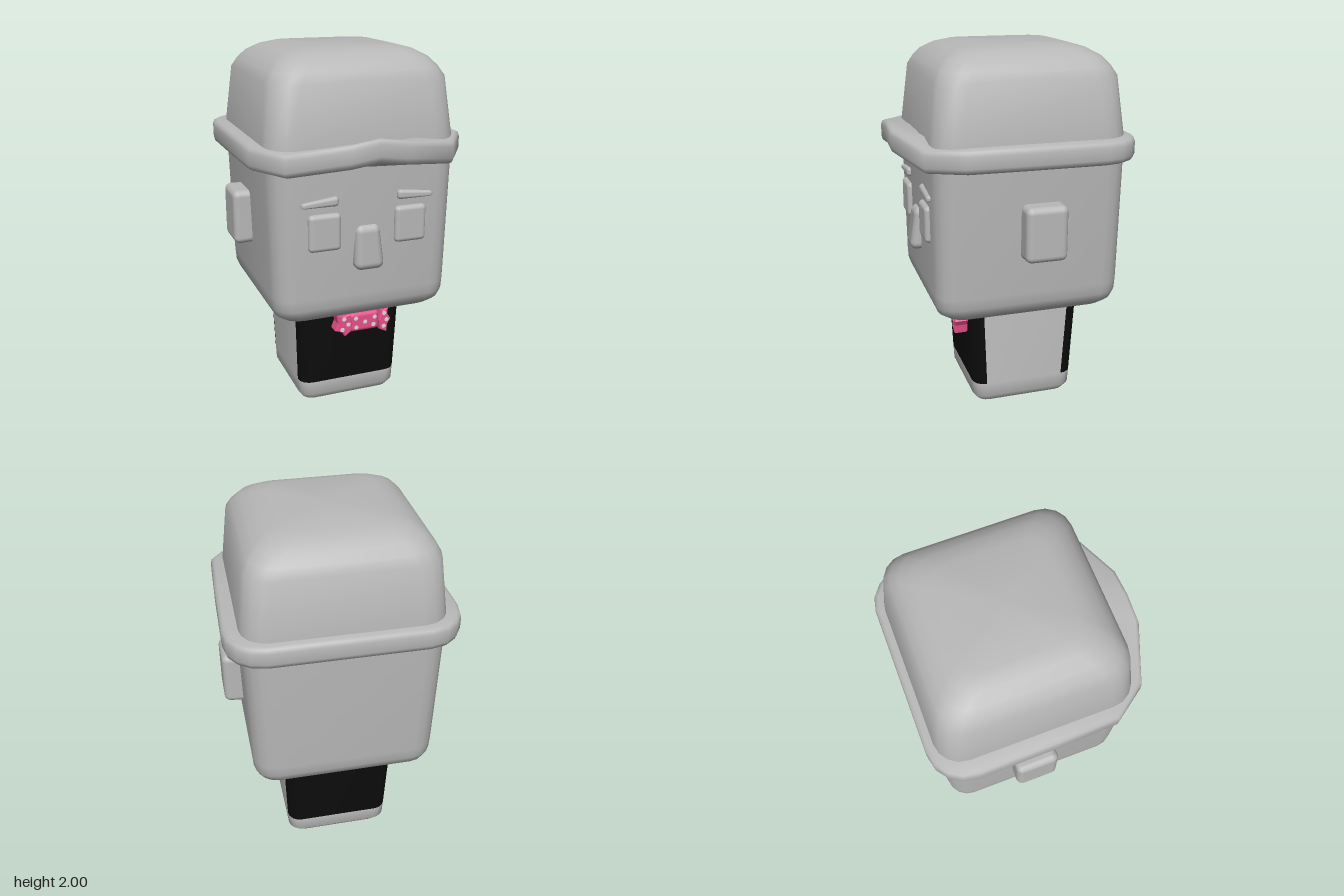
import * as THREE from 'three';
import { toCreasedNormals } from 'three/addons/utils/BufferGeometryUtils.js';
import { RoundedBoxGeometry } from 'three/addons/geometries/RoundedBoxGeometry.js';

const material = (name, color) => {
  const m = new THREE.MeshStandardMaterial({ color });
  m.name = name;
  return m;
};

// Rounded rectangle ring at height y, running from +x towards +z
function roundedRing(y, hx, hz, r, cz, seg = 4) {
  const ring = [];
  [[1, 1], [-1, 1], [-1, -1], [1, -1]].forEach(([sx, sz], q) => {
    for (let k = 0; k <= seg; k++) {
      const a = (q + k / seg) * Math.PI / 2;
      ring.push([sx * (hx - r) + r * Math.cos(a), y, cz + sz * (hz - r) + r * Math.sin(a)]);
    }
  });
  return ring;
}

// Closed surface through rings listed bottom to top; slot(i, j) picks a material
function loft(rings, slot = () => 0) {
  const n = rings[0].length, pos = rings.flat(2), faces = [[], []];
  for (let i = 0; i < rings.length - 1; i++) {
    for (let j = 0; j < n; j++) {
      const a = i * n + j, b = i * n + (j + 1) % n, c = b + n, d = a + n;
      faces[slot(i, j)].push(a, d, b, b, d, c);
    }
  }
  [rings[0], rings[rings.length - 1]].forEach((ring, top) => {
    const c = pos.length / 3, base = top ? (rings.length - 1) * n : 0;
    for (let k = 0; k < 3; k++) pos.push(ring.reduce((s, p) => s + p[k], 0) / n);
    for (let j = 0; j < n; j++) {
      const p = base + j, q = base + (j + 1) % n;
      faces[0].push(c, ...(top ? [q, p] : [p, q]));
    }
  });
  const g = new THREE.BufferGeometry();
  g.setAttribute('position', new THREE.Float32BufferAttribute(pos, 3));
  g.setIndex(faces.flat());
  if (faces[1].length) {
    g.addGroup(0, faces[0].length, 0);
    g.addGroup(faces[0].length, faces[1].length, 1);
  }
  return toCreasedNormals(g, 1.1);
}

// Move every vertex by a rule
function reshape(g, rule) {
  const p = g.attributes.position, v = new THREE.Vector3();
  for (let i = 0; i < p.count; i++) {
    rule(v.fromBufferAttribute(p, i));
    p.setXYZ(i, v.x, v.y, v.z);
  }
  return g;
}

export function createModel() {
  const model = new THREE.Group();
  model.name = 'cappedFigure';
  const grey = material('headGrey', 0xb8b8b8);
  const pale = material('bodyGrey', 0xc4c4c4);
  const black = material('vestBlack', 0x0c0c0c);
  const pink = material('bowPink', 0xe8508a);
  const white = material('dotWhite', 0xdedede);
  const add = (name, geometry, mat, x = 0, y = 0, z = 0, parent = model) => {
    const mesh = new THREE.Mesh(geometry, mat);
    mesh.name = name;
    mesh.position.set(x, y, z);
    parent.add(mesh);
    return mesh;
  };

  // Body: black front, back and corners above the hem, pale sides
  const bodyRings = [
    [0, 0.225, 0.22, 0.05], [0.012, 0.262, 0.26, 0.06], [0.05, 0.288, 0.287, 0.07],
    [0.13, 0.292, 0.291, 0.07], [0.64, 0.31, 0.314, 0.07],
  ].map(([y, hx, hz, r]) => roundedRing(y, hx, hz, r, -0.0775));
  add('body', loft(bodyRings, (i, j) => (i === 3 && j !== 9 && j !== 19 ? 1 : 0)), [pale, black]);

  // Shirt opening at the collar, lying on the tilted chest
  const opening = new THREE.Shape([[-0.095, 0.62], [0.0, 0.47], [0.03, 0.47], [0.125, 0.62]]
    .map(p => new THREE.Vector2(...p)));
  add('shirtOpening', reshape(new THREE.ShapeGeometry(opening),
    v => { v.z = 0.214 + (v.y - 0.05) * 0.0458; }), pale);

  // Head
  add('head', loft([
    [0.6, 0.385, 0.4, 0.09], [0.612, 0.43, 0.445, 0.1], [0.645, 0.468, 0.485, 0.11],
    [0.69, 0.486, 0.502, 0.115], [0.75, 0.491, 0.506, 0.12], [1.5, 0.51, 0.51, 0.12],
  ].map(([y, hx, hz, r]) => roundedRing(y, hx, hz, r, -0.055))), grey);

  // Cap crown
  add('capCrown', loft([
    [1.48, 0.519, 0.516, 0.14], [1.55, 0.514, 0.512, 0.14], [1.85, 0.48, 0.477, 0.14],
    [1.9, 0.452, 0.45, 0.14], [1.945, 0.41, 0.41, 0.13], [1.98, 0.35, 0.35, 0.12],
    [2, 0.275, 0.28, 0.1],
  ].map(([y, hx, hz, r]) => roundedRing(y, hx, hz, r, -0.055))), grey);

  // Cap brim: half outline [x, z, lift] from front to back, mirrored
  const half = [[0.15, 0.61, 0.036], [0.45, 0.5, -0.012], [0.58, 0.32, 0], [0.59, 0, 0],
    [0.595, -0.41, 0], [0.58, -0.49, 0], [0.54, -0.552, 0], [0.48, -0.597, 0], [0.4, -0.615, 0]];
  const outline = [[0, -0.615, 0], ...half.slice().reverse(), [0, 0.612, 0.058],
    ...half.map(([x, z, l]) => [-x, z, l])];
  add('capBrim', loft([
    [0.72, 1.43, 0], [0.965, 1.43, 0.9], [0.99, 1.438, 1], [1, 1.46, 1],
    [1, 1.52, 1], [0.99, 1.542, 1], [0.965, 1.55, 0.95], [0.72, 1.55, 0],
  ].map(([s, y, k]) => outline.map(([x, z, l]) => [x * s, y + l * k, z * s]))), grey);

  // Ears, eyes and brows, mirrored
  for (const side of [1, -1]) {
    const label = side > 0 ? 'left' : 'right';
    add(label + 'Ear', reshape(new RoundedBoxGeometry(0.15, 0.3, 0.23, 3, 0.035), v => {
      v.x *= side;
      if (v.x * side > 0) { v.y *= 0.98; v.z *= 0.97; }
      v.x *= side;
      v.x *= 1;
    }), grey, side * 0.519, 1.092, -0.095);
    add(label + 'Eye', new RoundedBoxGeometry(0.175, 0.197, 0.07, 3, 0.024),
      grey, side * 0.236, 1.113, 0.443);
    add(label + 'Brow', reshape(new RoundedBoxGeometry(0.2, 0.054, 0.06, 3, 0.02), v => {
      const t = 0.5 + v.x * side / 0.2;
      v.y = v.y * (1 - 0.5 * t) - 0.012 * t;
    }), grey, side * 0.26, 1.274, 0.445);
  }

  // Nose: narrower and shallower towards the top
  add('nose', reshape(new RoundedBoxGeometry(0.166, 0.236, 0.12, 4, 0.04), v => {
    const t = 0.5 + v.y / 0.236;
    v.x *= 1 - 0.22 * t;
    v.z -= 0.038 * t;
  }), grey, 0, 1.013, 0.454);

  // Bow tie: knot and two ragged wings with dots
  const bow = new THREE.Group();
  bow.name = 'bowTie';
  model.add(bow);
  add('bowKnot', new RoundedBoxGeometry(0.18, 0.115, 0.085, 3, 0.024), pink, 0.055, 0.503, 0.255, bow);
  const wings = {
    rightBowWing: [[-0.11, 0.565], [-0.075, 0.55], [-0.035, 0.56], [-0.022, 0.505], [-0.03, 0.46],
      [-0.062, 0.437], [-0.075, 0.46], [-0.115, 0.475], [-0.1, 0.515]],
    leftBowWing: [[0.142, 0.5], [0.16, 0.55], [0.192, 0.565], [0.188, 0.53], [0.208, 0.5],
      [0.19, 0.47], [0.185, 0.425], [0.148, 0.445]],
  };
  for (const [name, points] of Object.entries(wings)) {
    const shape = new THREE.Shape(points.map(p => new THREE.Vector2(...p)));
    add(name, new THREE.ExtrudeGeometry(shape, {
      depth: 0.05, bevelThickness: 0.014, bevelSize: 0.006, bevelOffset: -0.002, bevelSegments: 2,
    }), pink, 0, 0, 0.24, bow);
  }
  const dots = [[-0.07, 0.54], [-0.045, 0.505], [-0.08, 0.478], [0.003, 0.53], [0.005, 0.475],
    [0.058, 0.503], [0.115, 0.525], [0.108, 0.48], [0.17, 0.54], [0.185, 0.5], [0.168, 0.462]];
  for (const [x, y] of dots) {
    const onKnot = x > -0.02 && x < 0.14;
    add('bowDot', new THREE.CircleGeometry(0.013, 10), white, x, y, onKnot ? 0.299 : 0.306, bow);
  }
  return model;
}
